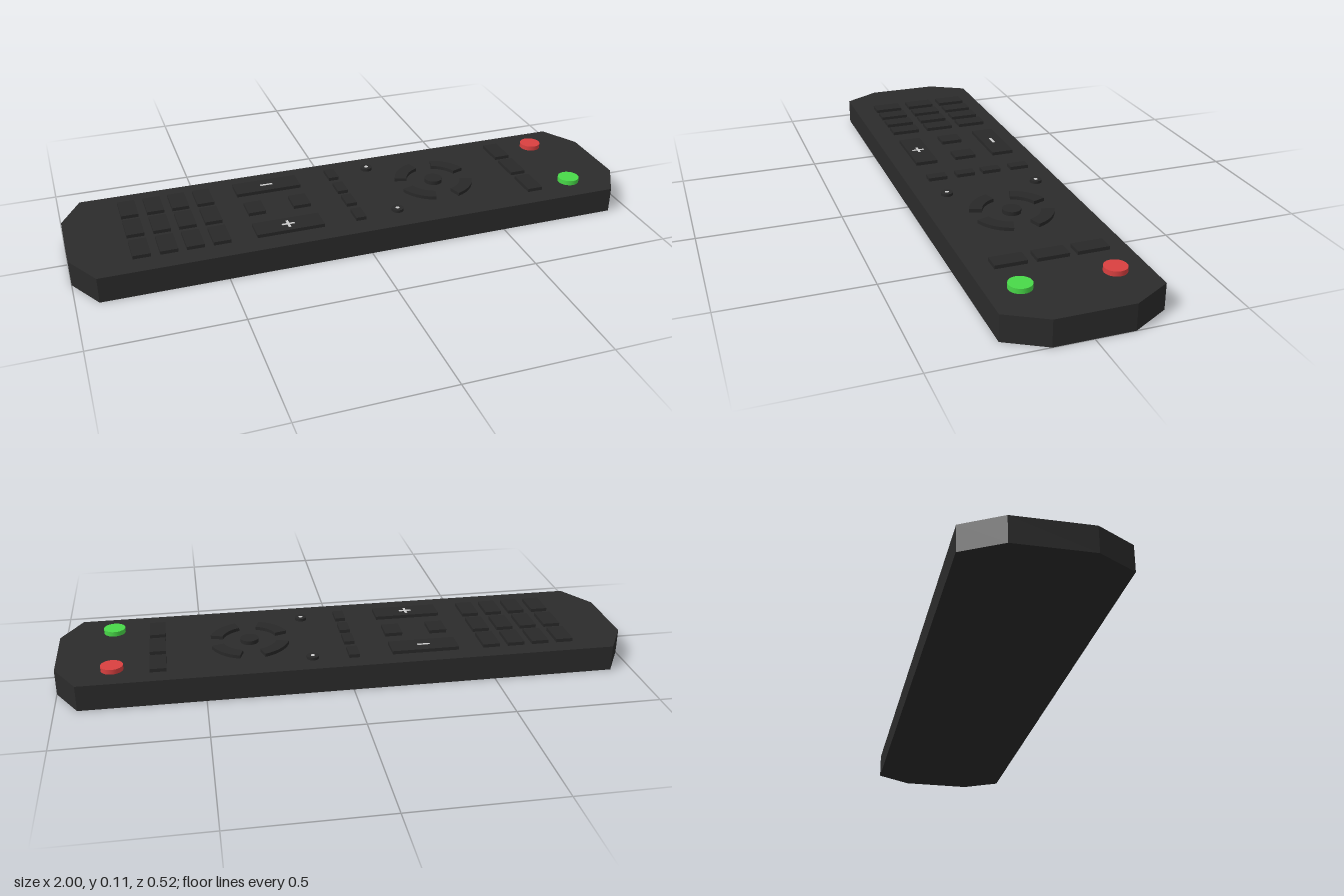
import * as THREE from 'three';

const TOP = 0.09; // height of the case

const mat = (color) => new THREE.MeshStandardMaterial({ color });

export function createModel() {
  const group = new THREE.Group();
  const caseMat = mat(0x2b2b2b), keyMat = mat(0x282828), markMat = mat(0xcccccc);

  const add = (name, geometry, material, x, y, z) => {
    const mesh = new THREE.Mesh(geometry, material);
    mesh.name = name;
    mesh.position.set(x, y, z);
    group.add(mesh);
    return mesh;
  };
  // Plan outline extruded upwards
  const slab = (shape, height) =>
    new THREE.ExtrudeGeometry(shape, { depth: height, bevelEnabled: false, curveSegments: 12 }).rotateX(-Math.PI / 2);
  // Keys sink slightly into the case
  const boxKey = (name, x, z, w, d, top = 0.102) =>
    add(name, new THREE.BoxGeometry(w, top - 0.08, d), keyMat, x, (top + 0.08) / 2, z);
  const roundKey = (name, x, z, r, top, material) =>
    add(name, new THREE.CylinderGeometry(r, r, top - 0.08, 32), material, x, (top + 0.08) / 2, z);

  // Case with chamfered corners
  const outline = new THREE.Shape([
    [-1, -0.13], [-0.925, -0.26], [0.925, -0.26], [1, -0.13],
    [1, 0.13], [0.925, 0.26], [-0.925, 0.26], [-1, 0.13],
  ].map(([x, y]) => new THREE.Vector2(x, y)));
  add('case', slab(outline, TOP), caseMat, 0, 0, 0);

  // Number pad and menu row
  for (const z of [-0.142, -0.008, 0.13]) {
    for (const x of [-0.77, -0.68, -0.592, -0.502]) boxKey('numberKey', x, z, 0.06, 0.104);
    boxKey('menuKey', 0.655, z, 0.056, 0.108);
  }

  // Wide rocker keys with minus and plus marks
  for (const z of [-0.155, 0.143]) {
    boxKey('wideKey', -0.265, z, 0.236, 0.08);
    add('markBar', new THREE.BoxGeometry(0.045, 0.002, 0.009), markMat, -0.265, 0.102, z);
  }
  add('markCrossBar', new THREE.BoxGeometry(0.009, 0.002, 0.045), markMat, -0.265, 0.102, 0.143);

  // Square keys and the narrow column
  for (const x of [-0.345, -0.182]) boxKey('squareKey', x, -0.008, 0.062, 0.078);
  for (const z of [-0.163, -0.056, 0.042, 0.147]) boxKey('narrowKey', -0.013, z, 0.037, 0.068);

  // Small dot keys
  for (const z of [-0.176, 0.155]) {
    roundKey('dotKey', 0.13, z, 0.021, 0.1, keyMat);
    roundKey('dotMark', 0.13, z, 0.007, 0.101, markMat);
  }

  // Direction ring: four arc keys around a centre key
  const gap = 0.31;
  for (let i = 0; i < 4; i++) {
    const a = i * Math.PI / 2 + gap, b = (i + 1) * Math.PI / 2 - gap;
    const arc = new THREE.Shape();
    arc.absarc(0, 0, 0.142, a, b, false);
    arc.absarc(0, 0, 0.098, b, a, true);
    add('directionKey', slab(arc, 0.022), keyMat, 0.333, 0.08, -0.006);
  }
  roundKey('centreKey', 0.333, -0.006, 0.032, 0.104, keyMat);

  // Coloured power keys
  roundKey('redKey', 0.808, -0.153, 0.038, 0.107, mat(0xd94040));
  roundKey('greenKey', 0.808, 0.151, 0.038, 0.107, mat(0x48d848));

  return group;
}
